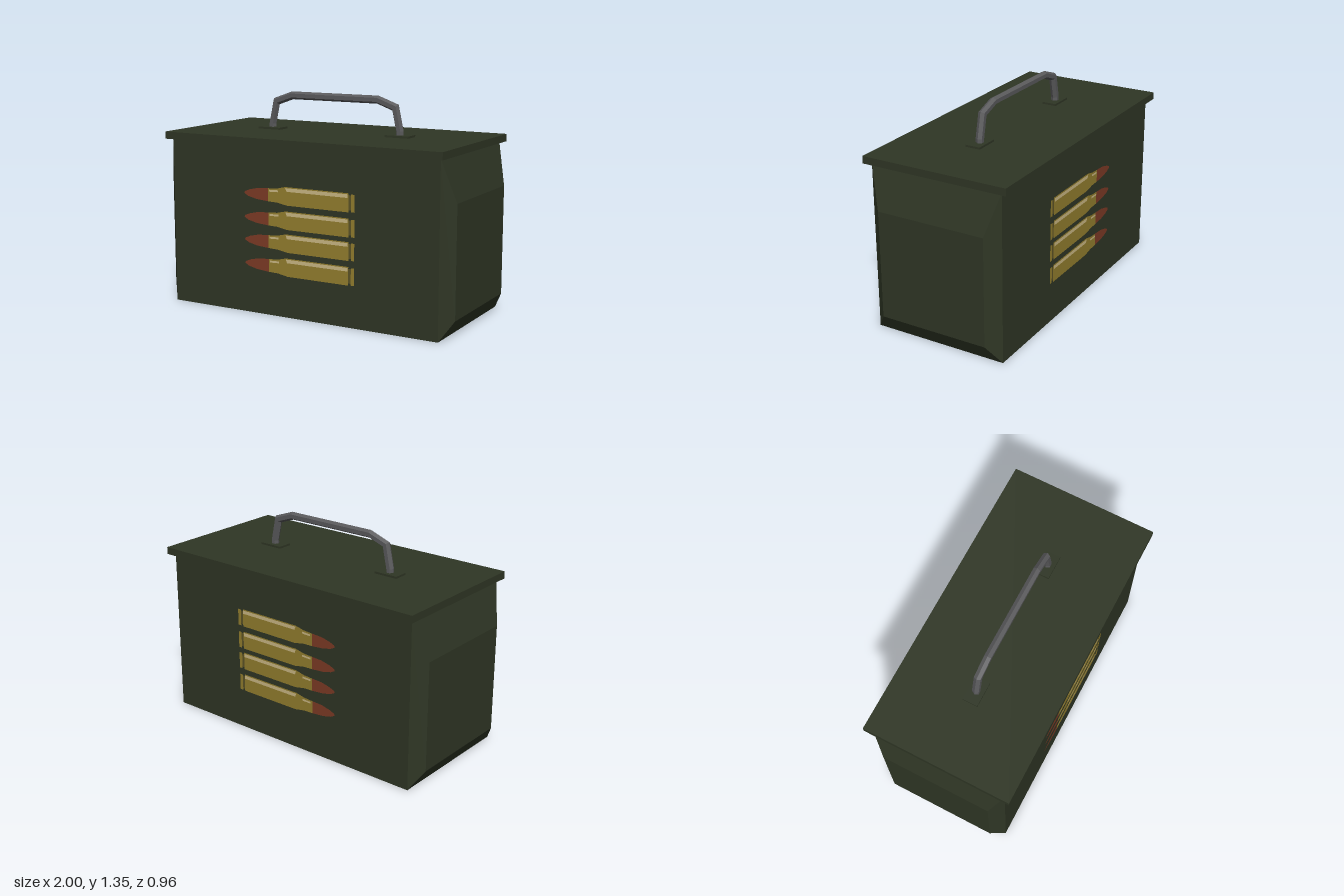
import * as THREE from 'three';

const mat = (name, color, side = THREE.FrontSide) =>
  Object.assign(new THREE.MeshStandardMaterial({ color, side }), { name });

// Faceted skin over a list of equal-length rings, closed at both ends
function loft(rings) {
  const pos = [];
  const tri = (...pts) => pts.forEach((p) => pos.push(p.x, p.y, p.z));
  const n = rings[0].length, last = rings[rings.length - 1];
  for (let i = 0; i < rings.length - 1; i++) {
    for (let j = 0; j < n; j++) {
      const k = (j + 1) % n;
      tri(rings[i][j], rings[i][k], rings[i + 1][k]);
      tri(rings[i][j], rings[i + 1][k], rings[i + 1][j]);
    }
  }
  for (let j = 1; j < n - 1; j++) {
    tri(rings[0][0], rings[0][j + 1], rings[0][j]);
    tri(last[0], last[j], last[j + 1]);
  }
  const g = new THREE.BufferGeometry();
  g.setAttribute('position', new THREE.Float32BufferAttribute(pos, 3));
  g.computeVertexNormals();
  return g;
}

// Hexagonal bar swept with mitred corners along a path in the xy plane
function hexBar(path, radius) {
  const pts = path.map(([x, y]) => new THREE.Vector3(x, y, 0));
  return loft(pts.map((p, i) => {
    const before = p.clone().sub(pts[Math.max(i - 1, 0)]).normalize();
    const after = pts[Math.min(i + 1, pts.length - 1)].clone().sub(p).normalize();
    const t = before.clone().add(after).normalize();
    const mitre = radius / Math.max(t.dot(before), t.dot(after));
    return Array.from({ length: 6 }, (_, j) => {
      const a = (j * Math.PI) / 3, c = Math.cos(a) * mitre;
      return new THREE.Vector3(p.x - t.y * c, p.y + t.x * c, Math.sin(a) * radius);
    });
  }));
}

const flat = (pts) =>
  new THREE.ShapeGeometry(new THREE.Shape(pts.map(([x, y]) => new THREE.Vector2(x, y))));

export function createModel() {
  const model = new THREE.Group();
  model.name = 'ammunitionBox';
  const olive = mat('olive paint', 0x2f3625);
  const steel = mat('grey steel', 0x5a5a5c);
  const brass = mat('brass', 0x937e2e, THREE.DoubleSide);
  const shine = mat('pale brass', 0xcbb883, THREE.DoubleSide);
  const copper = mat('copper', 0x7d3a25, THREE.DoubleSide);
  const shade = mat('dark brass', 0x5c5326, THREE.DoubleSide);

  const add = (name, geometry, material, x = 0, y = 0, z = 0, parent = model) => {
    const m = new THREE.Mesh(geometry, material);
    m.name = name;
    m.position.set(x, y, z);
    parent.add(m);
    return m;
  };

  // Body with a bevelled bulge pressed into each end
  const section = (x, y0, y1, z) =>
    [[y1, -z], [y1, z], [y0, z], [y0, -z]].map(([y, w]) => new THREE.Vector3(x, y, w));
  add('body', loft([
    section(-1, 0.115, 0.8, 0.355),
    section(-0.93, 0, 1.06, 0.435),
    section(0.93, 0, 1.06, 0.435),
    section(1, 0.115, 0.8, 0.355),
  ]), olive);

  // Lid, handle and its foot plates
  add('lid', new THREE.BoxGeometry(1.92, 0.046, 0.956), olive, 0, 1.082);
  for (const s of [-1, 1]) {
    add('handlePlate', new THREE.BoxGeometry(0.16, 0.014, 0.096), olive, s * 0.458, 1.111);
  }
  const half = [[-0.458, 1.105], [-0.458, 1.14], [-0.427, 1.283], [-0.306, 1.326]];
  const path = [...half, ...half.map(([x, y]) => [-x, y]).reverse()];
  add('handle', hexBar(path, 0.025), steel);

  // Painted cartridges, the same on front and back with tips toward -x
  const tip = flat([[-0.215, -0.043], [-0.215, 0.038], [-0.29, 0.034], [-0.35, 0.02],
    [-0.385, 0.006], [-0.39, -0.006], [-0.36, -0.022], [-0.3, -0.036]]);
  const casing = flat([[-0.215, -0.043], [-0.15, -0.045], [-0.08, -0.058], [0.345, -0.058],
    [0.345, 0.056], [-0.09, 0.056], [-0.15, 0.042], [-0.215, 0.038]]);
  const groove = flat([[0.345, -0.045], [0.362, -0.045], [0.362, 0.045], [0.345, 0.045]]);
  const rim = flat([[0.362, -0.056], [0.385, -0.056], [0.385, 0.05], [0.362, 0.05]]);
  const bodyShine = flat([[-0.08, 0.028], [0.34, 0.028], [0.34, 0.05], [-0.09, 0.05]]);
  const neckShine = flat([[-0.205, 0.018], [-0.14, 0.02], [-0.14, 0.032], [-0.205, 0.03]]);

  for (const s of [1, -1]) {
    const side = new THREE.Group();
    side.name = s > 0 ? 'frontCartridges' : 'backCartridges';
    model.add(side);
    for (const y of [0.76, 0.61, 0.468, 0.318]) {
      const z = s * 0.438, zTop = s * 0.441;
      add('bulletTip', tip, copper, 0, y, z, side);
      add('casing', casing, brass, 0, y, z, side);
      add('casingGroove', groove, shade, 0, y, z, side);
      add('casingRim', rim, brass, 0, y, z, side);
      add('casingShine', bodyShine, shine, 0, y, zTop, side);
      add('neckShine', neckShine, shine, 0, y, zTop, side);
    }
  }
  return model;
}
